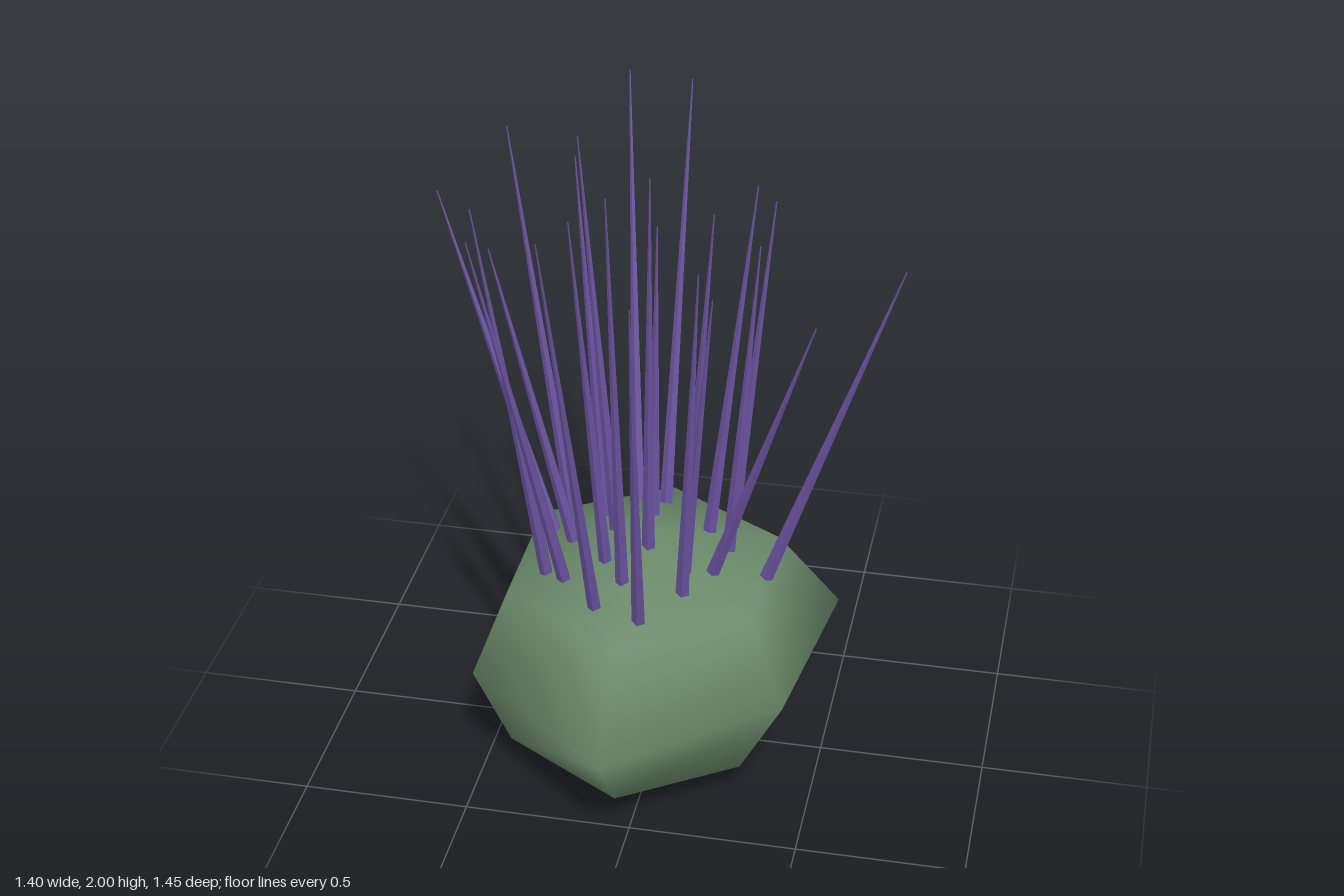
import * as THREE from 'three';

const bodyMaterial = new THREE.MeshStandardMaterial({ color: 0x6b8a6b });
const spineMaterial = new THREE.MeshStandardMaterial({ color: 0x68509c, flatShading: true });

// Six-sided smooth body: bottom pole, three rings, top pole
function createBody() {
  const ring = (y, corners) => corners.map(([x, z]) => [x, y, z]);
  const cap = [[-0.04, 0.515], [0.325, 0.29], [0.33, -0.17], [-0.04, -0.39], [-0.41, -0.17], [-0.41, 0.29]];
  const base = cap.map(([x, z]) => [x > 0 ? x - 0.03 : x, z]);
  const middle = [[-0.04, 0.72], [0.425, 0.33], [0.505, -0.27], [-0.04, -0.48], [-0.515, -0.23], [-0.51, 0.335]];
  const points = [
    [-0.04, 0.005, 0.06],
    ...ring(0.12, base), ...ring(0.38, middle), ...ring(0.65, cap),
    [-0.04, 0.78, 0.06],
  ];
  const index = [];
  for (let i = 0; i < 6; i++) {
    const j = (i + 1) % 6;
    index.push(0, 1 + j, 1 + i);
    for (const r of [1, 7]) index.push(r + i, r + j, r + 6 + j, r + i, r + 6 + j, r + 6 + i);
    index.push(13 + i, 13 + j, 19);
  }
  const geometry = new THREE.BufferGeometry();
  geometry.setAttribute('position', new THREE.Float32BufferAttribute(points.flat(), 3));
  geometry.setIndex(index);
  geometry.computeVertexNormals();
  const mesh = new THREE.Mesh(geometry, bodyMaterial);
  mesh.name = 'body';
  return mesh;
}

// Thin tapered spine from base to tip
function createSpine([bx, bz, tx, ty, tz]) {
  const by = 0.76 - 0.3 * Math.hypot(bx + 0.04, bz - 0.06);
  const from = new THREE.Vector3(bx, by, bz);
  const to = new THREE.Vector3(tx, ty, tz);
  const dir = to.clone().sub(from);
  const mesh = new THREE.Mesh(new THREE.CylinderGeometry(0.002, 0.021, dir.length(), 5), spineMaterial);
  mesh.position.copy(from).add(to).multiplyScalar(0.5);
  mesh.quaternion.setFromUnitVectors(new THREE.Vector3(0, 1, 0), dir.normalize());
  mesh.name = 'spine';
  return mesh;
}

// Base x, base z, tip x, tip y, tip z
const spines = [
  [-0.13, -0.27, -0.246, 1.9, -0.725], [-0.035, -0.23, -0.035, 1.93, -0.625],
  [-0.31, -0.15, -0.525, 1.87, -0.315], [-0.195, -0.105, -0.3, 1.84, -0.22],
  [-0.34, -0.045, -0.698, 1.72, -0.16], [-0.135, 0.02, -0.242, 2, -0.01],
  [-0.26, 0.042, -0.497, 1.65, 0.037], [-0.046, -0.095, -0.046, 1.67, -0.152],
  [0.185, -0.165, 0.281, 1.73, -0.263], [0.13, -0.067, 0.246, 1.83, -0.148],
  [0.2, -0.012, 0.275, 1.7, -0.03], [0.08, 0.042, 0.154, 1.82, 0.037],
  [0.325, 0.049, 0.696, 1.705, 0.056], [0.175, 0.132, 0.477, 1.61, 0.252],
  [0.1, 0.17, 0.188, 1.66, 0.24], [0.11, 0.25, 0.165, 1.78, 0.329],
  [-0.018, 0.115, 0, 1.975, 0.171], [-0.135, 0.17, -0.208, 1.87, 0.263],
  [-0.067, 0.255, -0.081, 2, 0.363], [-0.305, 0.205, -0.473, 1.9, 0.298],
  [-0.245, 0.235, -0.454, 1.86, 0.417], [-0.13, 0.345, -0.211, 1.975, 0.612],
  [0.008, 0.385, 0.036, 1.81, 0.613],
];

export function createModel() {
  const model = new THREE.Group();
  model.name = 'spinyPlant';
  const spineGroup = new THREE.Group();
  spineGroup.name = 'spines';
  spines.forEach((s) => spineGroup.add(createSpine(s)));
  model.add(createBody(), spineGroup);
  return model;
}
